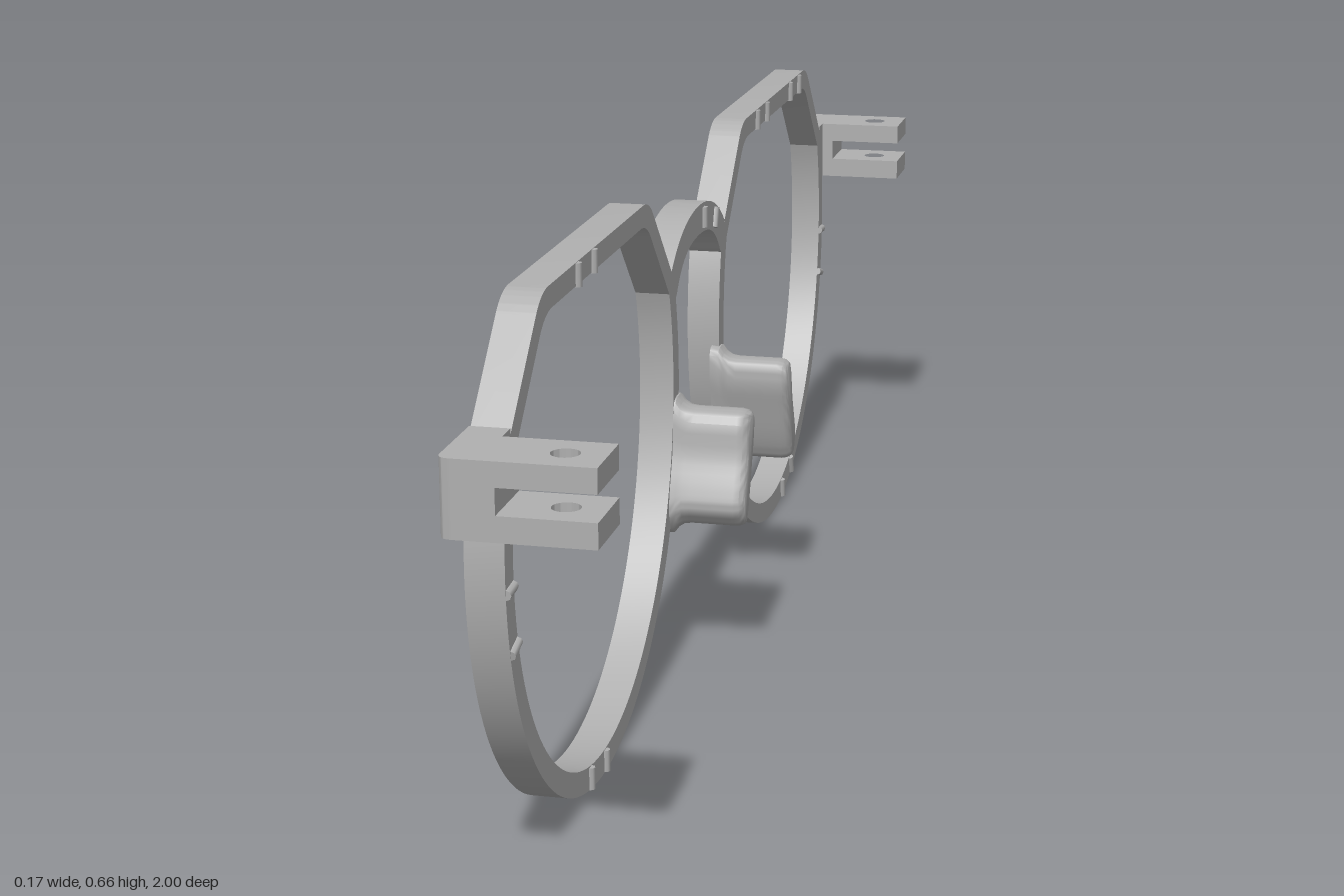
import * as THREE from 'three';
import { toCreasedNormals } from 'three/addons/utils/BufferGeometryUtils.js';

const BACK = -0.085, FACE = -0.04;   // depth range of the flat frame
const CX = 0.519, CY = 0.397;        // lens centre

// Round lens outline with a flat top and two cut corners
function lensOutline(path, cx, R, top, cut) {
  const d = Math.sqrt(2 * R * R - cut * cut);
  const px = (cut + d) / 2, py = (cut - d) / 2, a = Math.atan2(py, px);
  const kx = cut - top, r = 0.03, q = r * Math.SQRT1_2;
  path.moveTo(cx + px, CY + py);
  path.lineTo(cx + kx + q, CY + top - q);
  path.quadraticCurveTo(cx + kx, CY + top, cx + kx - r, CY + top);
  path.lineTo(cx - kx + r, CY + top);
  path.quadraticCurveTo(cx - kx, CY + top, cx - kx - q, CY + top - q);
  path.lineTo(cx - px, CY + py);
  path.absarc(cx, CY, R, Math.PI - a, 2 * Math.PI + a, false);
  return path;
}

function extrude(shape, depth, start) {
  const g = new THREE.ExtrudeGeometry(shape, { depth, bevelEnabled: false, curveSegments: 40 });
  g.translate(0, 0, start);
  return toCreasedNormals(g, 0.4);
}

// Horizontal L-shaped slab of the hinge; reach = how far back it goes
function hingeSlab(s, y0, y1, reach, hole) {
  const sh = new THREE.Shape();
  sh.moveTo(s * 0.885, -BACK);
  sh.lineTo(s * 0.985, -BACK);
  sh.quadraticCurveTo(s, -BACK, s, -BACK - 0.015);
  sh.lineTo(s, -reach);
  sh.lineTo(s * 0.914, -reach);
  sh.lineTo(s * 0.914, -FACE);
  sh.lineTo(s * 0.885, -FACE);
  sh.closePath();
  if (hole) sh.holes.push(new THREE.Path().absarc(s * 0.957, -0.04, 0.016, 0, Math.PI * 2, true));
  const g = extrude(sh, y1 - y0, 0);
  g.rotateX(-Math.PI / 2);
  g.translate(0, y0, 0);
  return g;
}

// Nose pad: tilted rounded blade, flared at the rim and rounded at its end
function nosePad(s) {
  const pts = [[0.150, 0.350], [0.128, 0.355], [0.109, 0.351], [0.106, 0.325], [0.116, 0.287],
    [0.137, 0.225], [0.151, 0.204], [0.166, 0.208], [0.182, 0.232], [0.177, 0.255], [0.160, 0.297]]
    .map(p => new THREE.Vector3(p[0], p[1], 0));
  const ring = new THREE.CatmullRomCurve3(pts, true).getPoints(44).slice(0, -1);
  const sections = [[-0.05, 1.22, 1], [-0.038, 1.2, 1], [-0.032, 1.09, 1], [-0.024, 1.02, 1],
    [-0.014, 1, 1], [0.045, 1, 1], [0.053, 0.98, 0.94], [0.058, 0.94, 0.8], [0.06, 0.88, 0.6]];
  const pos = [], idx = [], n = ring.length;
  const tri = (a, b, c) => (s > 0 ? idx.push(a, b, c) : idx.push(a, c, b));
  for (const [depth, ky, kx] of sections) {
    for (const p of ring) {
      const y = 0.278 + (p.y - 0.278) * ky;
      const mid = 0.143 - (p.y - 0.278) * 0.33;
      pos.push(s * (mid + (p.x - mid) * kx), y, depth);
    }
  }
  for (let j = 0; j < sections.length - 1; j++) {
    for (let i = 0; i < n; i++) {
      const a = j * n + i, b = j * n + (i + 1) % n;
      tri(a, b, b + n);
      tri(a, b + n, a + n);
    }
  }
  // end cap
  const last = (sections.length - 1) * n, c = pos.length / 3;
  pos.push(s * 0.143, 0.278, 0.06);
  for (let i = 0; i < n; i++) tri(last + i, last + (i + 1) % n, c);
  const g = new THREE.BufferGeometry();
  g.setAttribute('position', new THREE.Float32BufferAttribute(pos, 3));
  g.setIndex(idx);
  return toCreasedNormals(g, 0.7);
}

export function createModel() {
  const grey = new THREE.MeshStandardMaterial({ color: 0xb0b0b0 });
  grey.name = 'frameGrey';
  const model = new THREE.Group();
  model.name = 'eyeglassFrame';
  const frame = new THREE.Group();   // drawn facing z, then turned to face x
  frame.name = 'frame';
  frame.rotation.y = Math.PI / 2;
  model.add(frame);
  const add = (name, geo) => {
    const m = new THREE.Mesh(geo, grey);
    m.name = name;
    frame.add(m);
    return m;
  };

  for (const s of [-1, 1]) {
    const side = s < 0 ? 'left' : 'right';
    // Lens rim
    const rim = lensOutline(new THREE.Shape(), s * CX, 0.397, 0.265, 0.507);
    rim.holes.push(lensOutline(new THREE.Path(), s * CX, 0.367, 0.238, 0.467));
    add(side + 'Rim', extrude(rim, FACE - BACK, BACK));

    // Hinge block with slot and pin holes
    add(side + 'HingeLower', hingeSlab(s, 0.458, 0.487, 0.085, true));
    add(side + 'HingeCore', hingeSlab(s, 0.487, 0.517, -0.023, false));
    add(side + 'HingeUpper', hingeSlab(s, 0.517, 0.545, 0.085, true));

    add(side + 'NosePad', nosePad(s));
  }

  // Arched bridge
  const bridge = new THREE.Shape();
  bridge.moveTo(-0.158, 0.545);
  bridge.bezierCurveTo(-0.115, 0.582, -0.06, 0.598, 0, 0.598);
  bridge.bezierCurveTo(0.06, 0.598, 0.115, 0.582, 0.158, 0.545);
  bridge.lineTo(0.142, 0.5);
  bridge.lineTo(0.13, 0.508);
  bridge.bezierCurveTo(0.1, 0.546, 0.06, 0.558, 0, 0.558);
  bridge.bezierCurveTo(-0.06, 0.558, -0.1, 0.546, -0.13, 0.508);
  bridge.lineTo(-0.142, 0.5);
  bridge.closePath();
  add('bridge', extrude(bridge, FACE - BACK, BACK));

  // Small ribs across the face of the frame
  const ribGeo = new THREE.CylinderGeometry(0.006, 0.006, 0.028, 8);
  const rib = (x, y, angle) => {
    const m = add('faceRib', ribGeo);
    m.position.set(x, y, FACE);
    m.rotation.z = angle;
  };
  for (const x of [0.695, 0.626, 0.446, 0.377, -0.546, -0.615]) rib(x, CY + 0.2505, 0);
  rib(0.027, 0.577, 0);
  rib(0.095, 0.562, -0.35);
  for (const s of [-1, 1]) {
    for (const dx of [0.06, 0.13]) {
      const a = Math.asin(dx / 0.382);
      rib(s * (CX + (s > 0 ? dx : -dx + 0.13)), CY - Math.sqrt(0.382 ** 2 - (s > 0 ? dx : dx - 0.13) ** 2), s > 0 ? a : 0);
    }
    for (const y of [0.3, 0.37]) {
      const dy = y - CY, a = Math.asin(dy / 0.382);
      rib(s * (CX + 0.382 * Math.cos(a)), y, Math.PI / 2 + s * a);
    }
  }
  return model;
}
